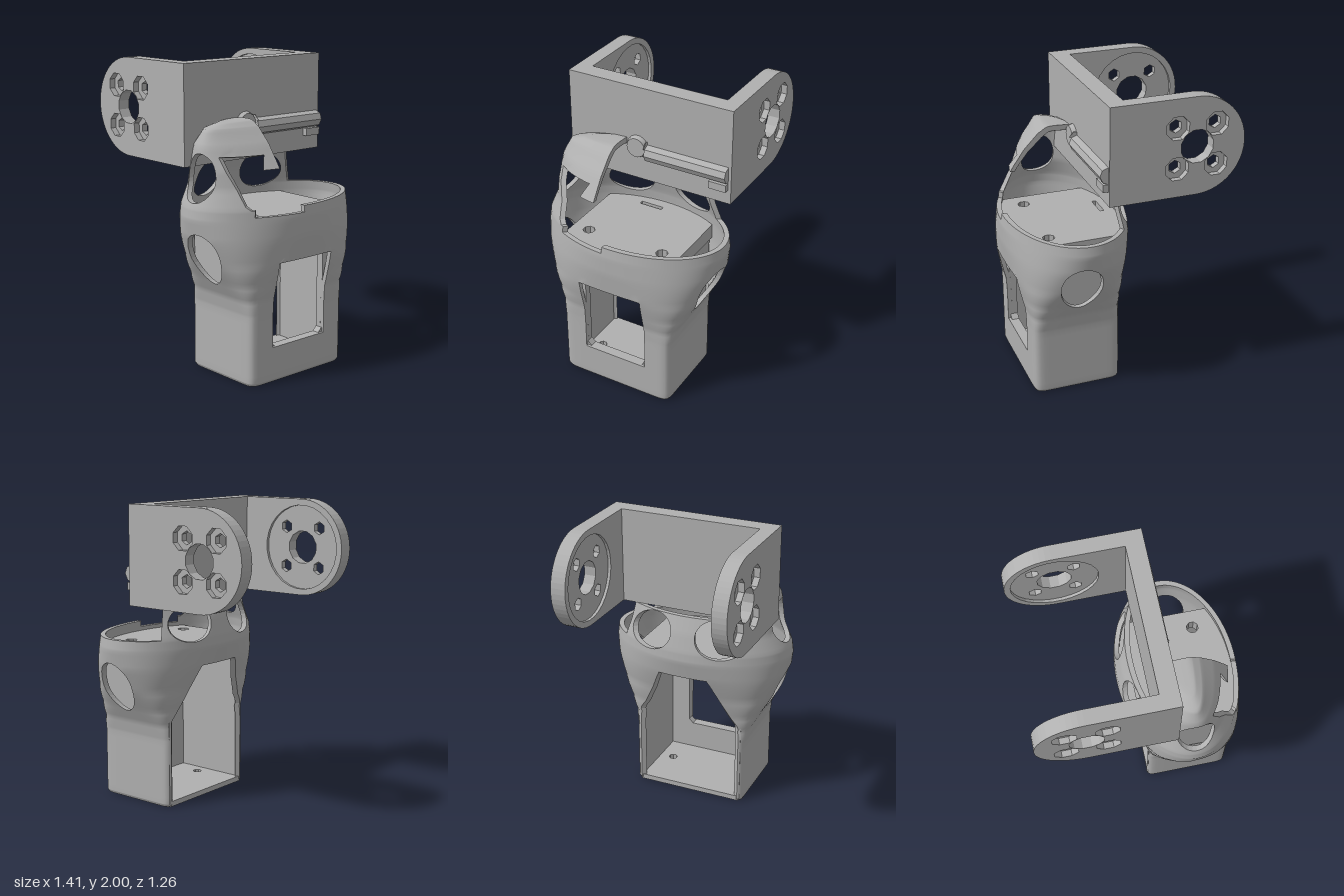
import * as THREE from 'three';

const grey = new THREE.MeshStandardMaterial({ color: 0xb0b0b0, side: THREE.DoubleSide });
grey.name = 'plastic grey';

function add(parent, name, geometry, x = 0, y = 0, z = 0) {
  const mesh = new THREE.Mesh(geometry, grey);
  mesh.name = name;
  mesh.position.set(x, y, z);
  parent.add(mesh);
  return mesh;
}

const vectors = points => points.map(p => new THREE.Vector2(...p));
const polygon = points => new THREE.Shape(vectors(points));

// Round or polygonal hole
function hole(x, y, r, sides) {
  const pts = [];
  for (let i = 0; i < sides; i++) {
    const a = (i + 0.5) / sides * Math.PI * 2;
    pts.push([x + r * Math.cos(a), y + r * Math.sin(a)]);
  }
  return new THREE.Path(vectors(pts));
}

function slab(shape, holes, depth) {
  shape.holes.push(...holes);
  return new THREE.ExtrudeGeometry(shape, { depth, bevelEnabled: false, curveSegments: 14 });
}

// ---- Upper fork arm: pocketed for nuts outside and for a disc inside
function forkArm() {
  const arm = new THREE.Group();
  const cx = -0.39, cy = 1.68, r = 0.32;
  const outline = () => {
    const s = new THREE.Shape();
    s.moveTo(0.1, cy + r);
    s.lineTo(cx, cy + r);
    s.absarc(cx, cy, r, Math.PI / 2, Math.PI * 1.5, false);
    s.lineTo(0.1, cy - r);
    return s;
  };
  const screws = (rad, sides) => [[-1, -1], [-1, 1], [1, -1], [1, 1]]
    .map(([i, j]) => hole(cx + 0.13 * i, cy + 0.132 * j, rad, sides));
  add(arm, 'armInnerLayer', slab(outline(), [hole(cx, cy, 0.28, 28)], 0.02));
  add(arm, 'armMiddleLayer', slab(outline(), [hole(cx, cy, 0.11, 12), ...screws(0.043, 6)], 0.04), 0, 0, 0.02);
  add(arm, 'armOuterLayer', slab(outline(), [hole(cx, cy, 0.11, 12), ...screws(0.08, 8)], 0.04), 0, 0, 0.06);
  return arm;
}

// ---- Outer shell, box below and bulging above: level, back x, front x, half depth, squareness
const LEVELS = [
  [0, 0.04, 0.61, 0.39, 16], [0.02, 0.03, 0.62, 0.40, 16], [0.23, 0.03, 0.62, 0.40, 16],
  [0.45, 0.03, 0.62, 0.40, 16], [0.55, 0.03, 0.625, 0.42, 9], [0.65, 0.01, 0.65, 0.47, 5],
  [0.79, -0.03, 0.685, 0.55, 3], [0.94, -0.08, 0.70, 0.61, 2.3], [1.06, -0.105, 0.70, 0.63, 2],
  [1.13, -0.10, 0.69, 0.62, 2], [1.25, -0.07, 0.64, 0.57, 2], [1.36, -0.03, 0.60, 0.565, 2],
  [1.5, 0, 0.50, 0.54, 2], [1.6, 0.10, 0.40, 0.49, 2], [1.63, 0.15, 0.35, 0.38, 2], [1.64, 0.2, 0.33, 0.12, 2],
];
const CX = 0.3, RAD = Math.PI / 180;

function shellPoint(t, y, inset) {
  let k = 0;
  while (k < LEVELS.length - 2 && y > LEVELS[k + 1][0]) k++;
  const p = LEVELS[k], q = LEVELS[k + 1];
  const f = THREE.MathUtils.clamp((y - p[0]) / (q[0] - p[0]), 0, 1);
  const [, x0, x1, b, n] = p.map((v, i) => v + (q[i] - v) * f);
  const c = Math.cos(t), s = Math.sin(t), a = c > 0 ? x1 - CX : CX - x0;
  const r = Math.pow(Math.pow(Math.abs(c) / a, n) + Math.pow(Math.abs(s) / b, n), -1 / n);
  const ri = Math.max(r - inset, 0.01);
  return new THREE.Vector3(CX + ri * c, y - inset * THREE.MathUtils.clamp((y - 1.4) / 0.2, 0, 1), ri * s);
}

// Oval holes as angle, height, angular radius, vertical radius
const OVALS = [
  [85.5 * RAD, 0.8, 0.245, 0.17], [274.5 * RAD, 0.8, 0.245, 0.17],
  [90 * RAD, 1.31, 0.23, 0.15],
  [145.5 * RAD, 1.23, 0.375, 0.125], [214.5 * RAD, 1.23, 0.375, 0.125],
];
const WINDOW = 0.225, ROOF_EDGE = 0.15;
const BACK = 8, FRONT = 9, CROWN = 10;

// Regions left out in whole cells
function cutAway(t, p) {
  const d = t / RAD;
  if (p.y < 1.13) return p.y > 1.09 && d > 5 && d < 50; // dip in the front rim
  if (p.y < 1.36) return d > 240;                       // low rear rim
  return p.x < 0.15 || d > 180;                         // roof only beside the web
}

// A shell corner, moved onto the edge of any opening it falls into
function shellCorner(t, y, inset) {
  const y0 = y;
  let tag = 0;
  OVALS.forEach(([tc, yc, rt, ry], h) => {
    const e = Math.hypot((t - tc) / rt, (y - yc) / ry);
    if (e >= 1) return;
    tag = h + 1;
    t = tc + (t - tc) / Math.max(e, 0.01);
    y = yc + (y - yc) / Math.max(e, 0.01);
  });
  // Back opening, narrowing upward
  const limit = Math.min(54, 54 - (y0 - 0.58) * 80) * RAD, off = t - Math.PI;
  if (y0 < 0.941 && Math.abs(off) < limit) {
    tag = BACK;
    if (limit - Math.abs(off) < 0.1 && y0 < 0.93) t = Math.PI + Math.sign(off) * limit;
  }
  // Open crown with a slanted edge, notched beside the roof flap
  const slant = (54 + (y0 - 1.12) * 72) * RAD, top = t > 44.9 * RAD ? 1.47 : 1.36;
  if (y0 > 1.129 && y0 < top + 0.001 && t < slant) {
    tag = CROWN;
    if (slant - t < 0.1 && y0 > 1.14) t = slant;
  }
  const p = shellPoint(t, y, inset);
  // Front window
  if (p.x > 0.4 && y0 > 0.229 && y0 < 0.791 && Math.abs(p.z) < WINDOW) {
    tag = FRONT;
    if (Math.abs(p.z) > WINDOW - 0.06) p.z = Math.sign(p.z) * WINDOW;
  }
  // Straight roof edge
  if (p.x > 0.15 && y0 > 1.359 && t < Math.PI && p.z < ROOF_EDGE) {
    tag = CROWN;
    if (p.z > ROOF_EDGE - 0.1) p.z = ROOF_EDGE;
  }
  return [p, tag];
}

function shellGeometry() {
  const cols = 144, sub = 5, ys = [LEVELS[0][0]];
  for (let i = 1; i < LEVELS.length; i++) for (let j = 1; j <= sub; j++) {
    ys.push(THREE.MathUtils.lerp(LEVELS[i - 1][0], LEVELS[i][0], j / sub));
  }
  const pos = [], index = [], tags = [], layer = ys.length * cols;
  for (const inset of [0, 0.035]) for (const y of ys) for (let i = 0; i < cols; i++) {
    const [p, tag] = shellCorner(i / cols * Math.PI * 2, y, inset);
    pos.push(p.x, p.y, p.z);
    tags.push(tag);
  }
  const id = (i, j) => j * cols + (i + cols) % cols;
  const kept = (i, j) => {
    if (j < 0 || j >= ys.length - 1) return false;
    const t = ((i + cols) % cols + 0.5) / cols * Math.PI * 2;
    if (cutAway(t, shellPoint(t, (ys[j] + ys[j + 1]) / 2, 0))) return false;
    const tg = [id(i, j), id(i + 1, j), id(i, j + 1), id(i + 1, j + 1)].map(k => tags[k]);
    return !(tg[0] && tg.every(v => v === tg[0]));
  };
  // Rim faces get their own corners so the edge stays sharp
  const rim = (a, b) => {
    const base = pos.length / 3;
    for (const k of [a, b, a + layer, b + layer]) pos.push(pos[3 * k], pos[3 * k + 1], pos[3 * k + 2]);
    index.push(base, base + 1, base + 2, base + 1, base + 3, base + 2);
  };
  for (let j = 0; j < ys.length - 1; j++) for (let i = 0; i < cols; i++) {
    if (!kept(i, j)) continue;
    const a = id(i, j), b = id(i + 1, j), c = id(i, j + 1), d = id(i + 1, j + 1);
    index.push(a, c, b, b, c, d);
    index.push(a + layer, b + layer, c + layer, b + layer, d + layer, c + layer);
    if (!kept(i, j - 1)) rim(a, b);
    if (!kept(i, j + 1)) rim(d, c);
    if (!kept(i - 1, j)) rim(c, a);
    if (!kept(i + 1, j)) rim(b, d);
  }
  const g = new THREE.BufferGeometry();
  g.setAttribute('position', new THREE.Float32BufferAttribute(pos, 3));
  g.setIndex(index);
  g.computeVertexNormals();
  return g;
}

export function createModel() {
  const model = new THREE.Group();
  model.name = 'jointBracket';

  // Fork: web and two arms
  const fork = new THREE.Group();
  fork.name = 'fork';
  model.add(fork);
  add(fork, 'web', new THREE.BoxGeometry(0.12, 0.64, 1.16), 0.12, 1.68, -0.01);
  for (const s of [1, -1]) {
    const arm = forkArm();
    arm.name = s > 0 ? 'frontArm' : 'rearArm';
    arm.scale.z = s;
    arm.position.z = s > 0 ? 0.47 : -0.49;
    fork.add(arm);
  }

  // Ridge and boss on the web
  const ridge = polygon([[0.17, 1.5], [0.215, 1.52], [0.235, 1.56], [0.22, 1.6], [0.17, 1.62]]);
  add(model, 'webRidge', slab(ridge, [], 0.57), 0, 0, -0.57);
  const boss = new THREE.CylinderGeometry(0.065, 0.08, 0.04, 14).rotateZ(-Math.PI / 2);
  add(model, 'webBoss', boss, 0.19, 1.59, 0.07);
  add(model, 'ridgeFoot', new THREE.BoxGeometry(0.05, 0.05, 0.12), 0.19, 1.48, -0.51);

  // Inner box, open at the back
  const housing = new THREE.Group();
  housing.name = 'innerBox';
  model.add(housing);
  for (const s of [1, -1]) {
    add(housing, 'sideWall', new THREE.BoxGeometry(0.56, 0.98, 0.02), 0.32, 0.51, s * 0.37);
  }
  const face = polygon([[-0.38, 0.02], [0.38, 0.02], [0.38, 1.0], [-0.38, 1.0]]);
  const w = WINDOW, c = 0.03;
  const opening = new THREE.Path(vectors([[-w + c, 0.23], [w - c, 0.23], [w, 0.26], [w, 0.76], [w - c, 0.79],
    [-w + c, 0.79], [-w, 0.76], [-w, 0.26]]));
  add(housing, 'windowWall', slab(face, [opening], 0.05).rotateY(Math.PI / 2), 0.553);
  const floor = polygon([[0.04, -0.37], [0.59, -0.37], [0.59, 0.37], [0.04, 0.37]]);
  add(housing, 'floor', slab(floor, [hole(0.35, 0.275, 0.03, 8), hole(0.35, -0.265, 0.03, 8)], 0.035)
    .rotateX(Math.PI / 2), 0, 0.035, 0);

  // Shelf closing the top of the box, with screw holes and a cable slot
  const edge = [];
  for (let i = 0; i < 48; i++) {
    const a = (i + 0.5) / 48 * Math.PI * 2;
    edge.push([0.305 + 0.375 * Math.cos(a), THREE.MathUtils.clamp(0.59 * Math.sin(a), -0.39, 0.39)]);
  }
  const slot = new THREE.Path(vectors([[0, -0.01], [0.028, -0.01], [0.028, 0.15], [0, 0.15]]));
  add(housing, 'shelf', slab(polygon(edge), [hole(0.47, 0.27, 0.04, 8), hole(0.47, -0.27, 0.04, 8), slot], 0.1)
    .rotateX(Math.PI / 2), 0, 1.06, 0);

  add(model, 'outerShell', shellGeometry());
  return model;
}
